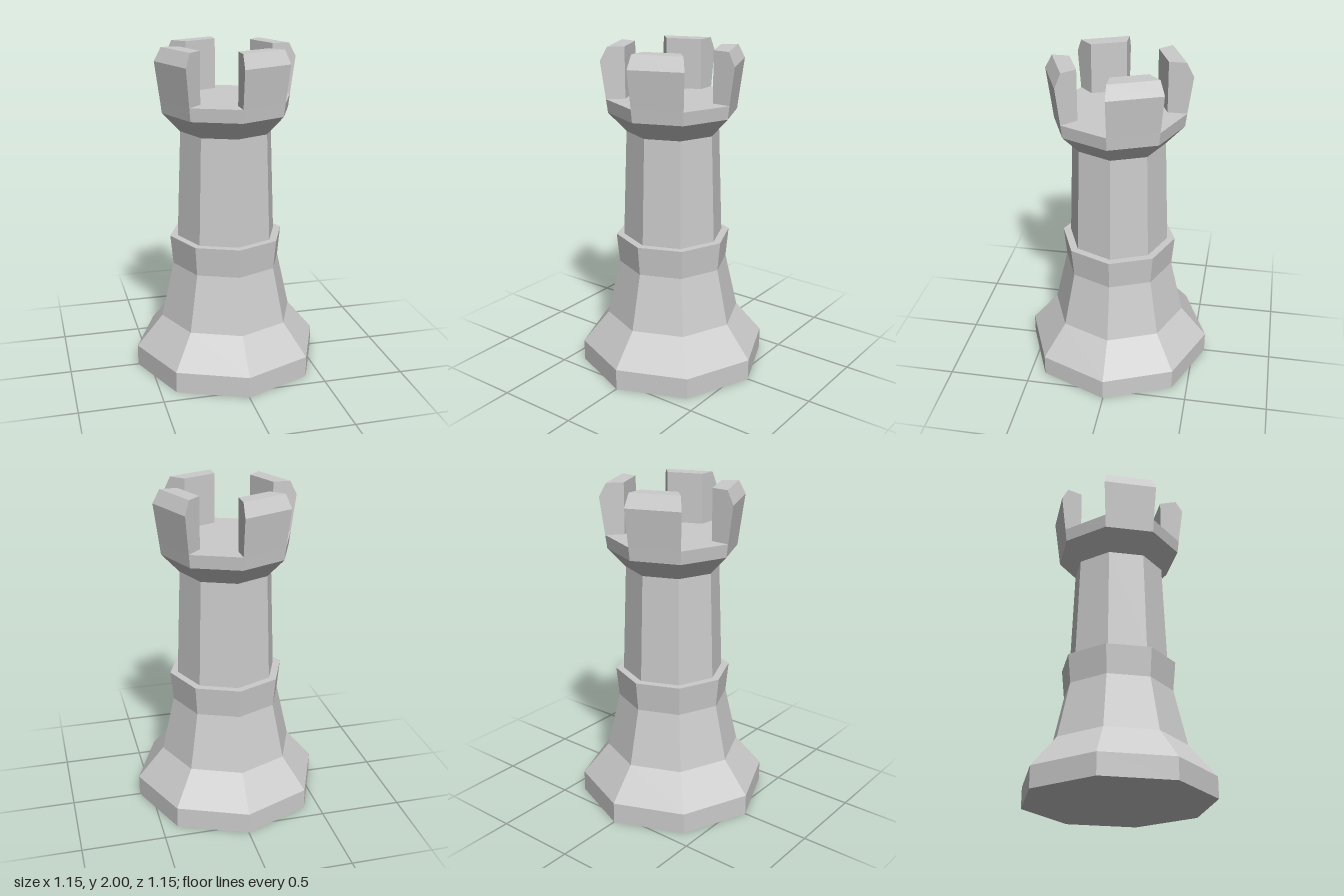
import * as THREE from 'three';

const SIDES = 8;
const STEP = (Math.PI * 2) / SIDES;
const material = new THREE.MeshStandardMaterial({ color: 0xcccccc, flatShading: true });
const capMaterial = new THREE.MeshStandardMaterial({ color: 0xcccccc, flatShading: true, side: THREE.DoubleSide });

const toPoints = (profile) => profile.map(([r, y]) => new THREE.Vector2(r, y));

// Faceted solid of revolution from [radius, height] pairs, listed bottom to top
function turned(name, profile, start = 0, segments = SIDES) {
  const lathe = new THREE.LatheGeometry(toPoints(profile), segments, start, segments * STEP);
  const geometry = lathe.toNonIndexed();
  geometry.computeVertexNormals();
  const mesh = new THREE.Mesh(geometry, material);
  mesh.name = name;
  return mesh;
}

// One battlement block: an eighth of a ring closed by two radial end faces
function battlement(start) {
  const block = new THREE.Group();
  block.name = 'battlement';
  const profile = [[0.397, 1.695], [0.427, 1.92], [0.385, 2], [0.283, 2], [0.283, 1.695]];
  block.add(turned('battlementWall', profile, start, 1));
  for (const angle of [start, start + STEP]) {
    const end = new THREE.Mesh(new THREE.ShapeGeometry(new THREE.Shape(toPoints(profile))), capMaterial);
    end.name = 'battlementEnd';
    end.rotation.y = angle - Math.PI / 2;
    block.add(end);
  }
  return block;
}

export function createModel() {
  const model = new THREE.Group();
  model.name = 'chessRook';

  // Flared foot rising to a collar
  model.add(turned('base', [
    [0, 0], [0.575, 0], [0.575, 0.13], [0.413, 0.325], [0.335, 0.67], [0.352, 0.85], [0.305, 0.85],
  ]));

  // Tapering shaft
  model.add(turned('shaft', [[0.305, 0.85], [0.28, 1.5]]));

  // Crown with a flat floor
  model.add(turned('crown', [[0.28, 1.5], [0.387, 1.615], [0.397, 1.695], [0, 1.695]]));

  // Battlements on every other side
  for (let i = 0; i < SIDES; i += 2) model.add(battlement(i * STEP));

  return model;
}
